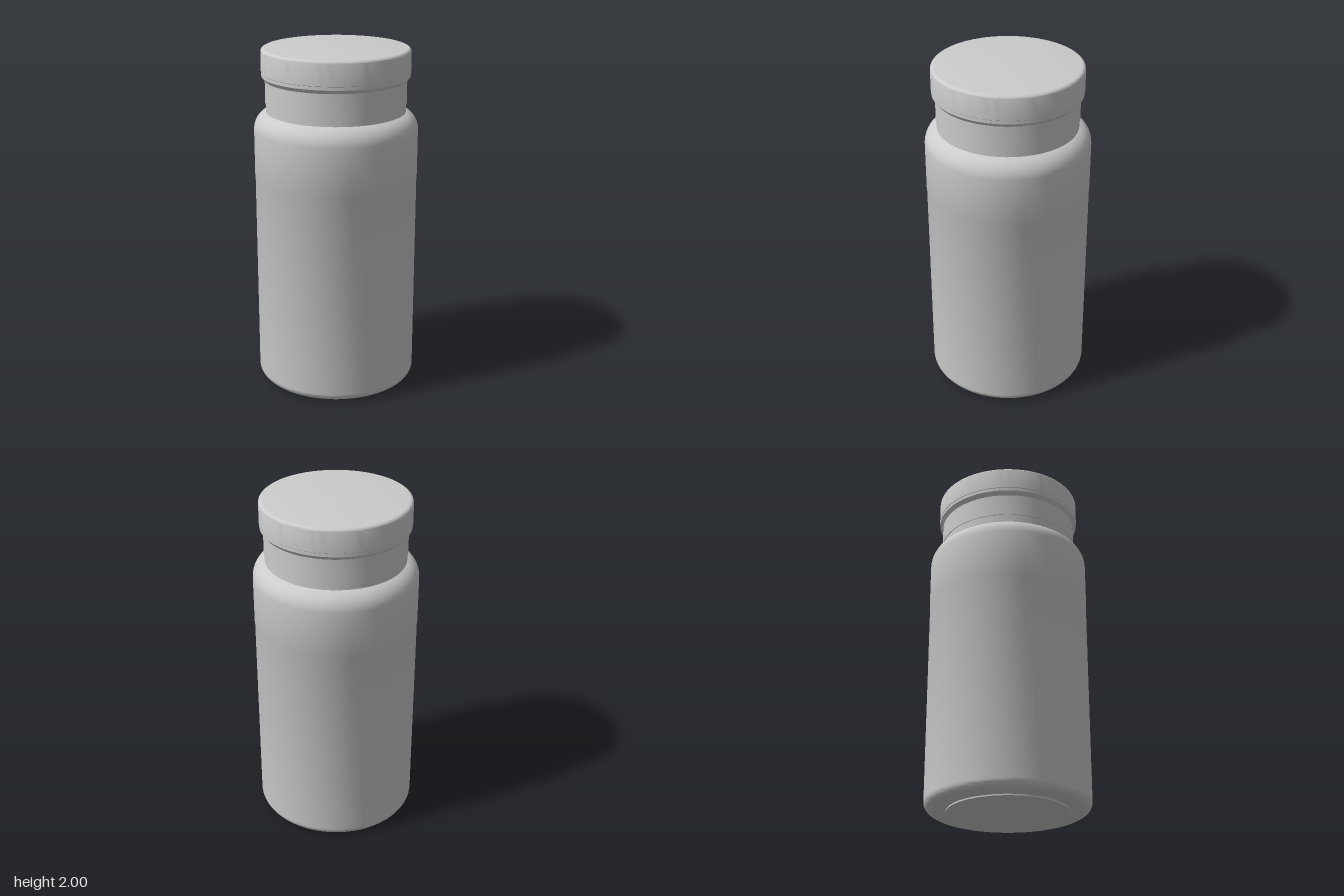
import * as THREE from 'three';
import { toCreasedNormals } from 'three/addons/utils/BufferGeometryUtils.js';

const SEGMENTS = 96;

// Quarter-round style arc in the profile plane, as [radius, y] pairs.
function arc(cx, cy, r, from, to, steps = 8) {
  return Array.from({ length: steps + 1 }, (_, i) => {
    const a = THREE.MathUtils.degToRad(from + ((to - from) * i) / steps);
    return [cx + r * Math.cos(a), cy + r * Math.sin(a)];
  });
}

// Revolve a bottom-to-top profile, keeping hard edges sharp.
function revolve(name, profile) {
  const points = profile.map(([x, y]) => new THREE.Vector2(Math.max(x, 0), y));
  const geometry = toCreasedNormals(new THREE.LatheGeometry(points, SEGMENTS), 0.5);
  const mesh = new THREE.Mesh(geometry, new THREE.MeshStandardMaterial({ color: 0xcccccc }));
  mesh.name = name;
  return mesh;
}

export function createModel() {
  const group = new THREE.Group();
  group.name = 'bottle';

  // Body: slim foot disc, rounded base, straight wall, round shoulder and neck
  group.add(revolve('body', [
    [0, 0], [0.345, 0], [0.345, 0.008],
    ...arc(0.419, 0.058, 0.05, -90, 0),
    [0.469, 1.25], [0.471, 1.255],
    ...arc(0.361, 1.535, 0.11, 0, 67),
    [0.4, 1.638], [0.4, 1.7], [0, 1.7],
  ]));

  // Sealing band around the neck
  group.add(revolve('sealBand', [
    [0.39, 1.688], [0.404, 1.688], [0.404, 1.83], [0.39, 1.83],
  ]));

  // Lid: tapered lower lip, shallow seam and softly rounded top edge
  group.add(revolve('lid', [
    [0, 1.82], [0.406, 1.82], [0.423, 1.842], [0.423, 1.861],
    [0.425, 1.863],
    ...arc(0.405, 1.98, 0.02, 0, 90, 6),
    [0, 2],
  ]));

  return group;
}
